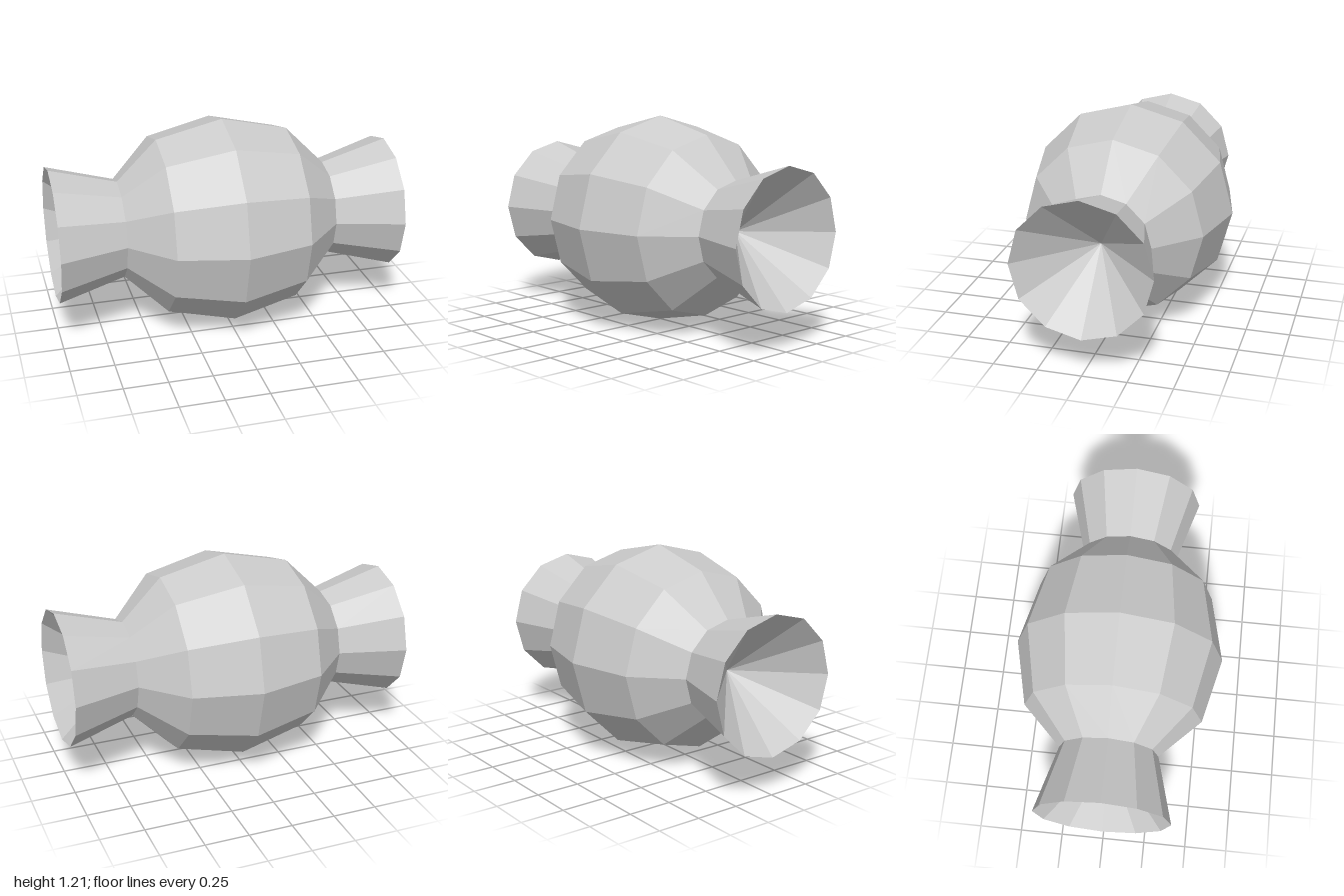
import * as THREE from 'three';

const SIDES = 12;
const CENTER_Y = 0.605;

// Faceted solid of revolution around the x axis; profile is [x, radius] with x running left to right outside.
function turned(name, profile, material) {
  const points = profile.map(([x, r]) => new THREE.Vector2(r, x));
  const geometry = new THREE.LatheGeometry(points, SIDES);
  geometry.rotateZ(-Math.PI / 2);
  const mesh = new THREE.Mesh(geometry, material);
  mesh.name = name;
  mesh.position.y = CENTER_Y;
  return mesh;
}

export function createModel() {
  const group = new THREE.Group();
  group.name = 'wrappedCandy';
  const material = new THREE.MeshStandardMaterial({
    color: 0xcccccc, flatShading: true, side: THREE.DoubleSide,
  });

  // Rounded candy body between the two pinched waists
  group.add(turned('candyBody', [
    [-0.615, 0.285], [-0.385, 0.515], [0, 0.605], [0.385, 0.515], [0.615, 0.28],
  ], material));

  // Flared wrapper ends: outer wall, then a hollow cone closing to a point at the waist
  for (const [name, turn, waist] of [['leftWrapperEnd', 0, 0.28], ['rightWrapperEnd', Math.PI, 0.285]]) {
    const end = turned(name, [[0.615, waist], [1, 0.392], [0.615, 0]], material);
    end.rotation.y = turn;
    group.add(end);
  }
  return group;
}
